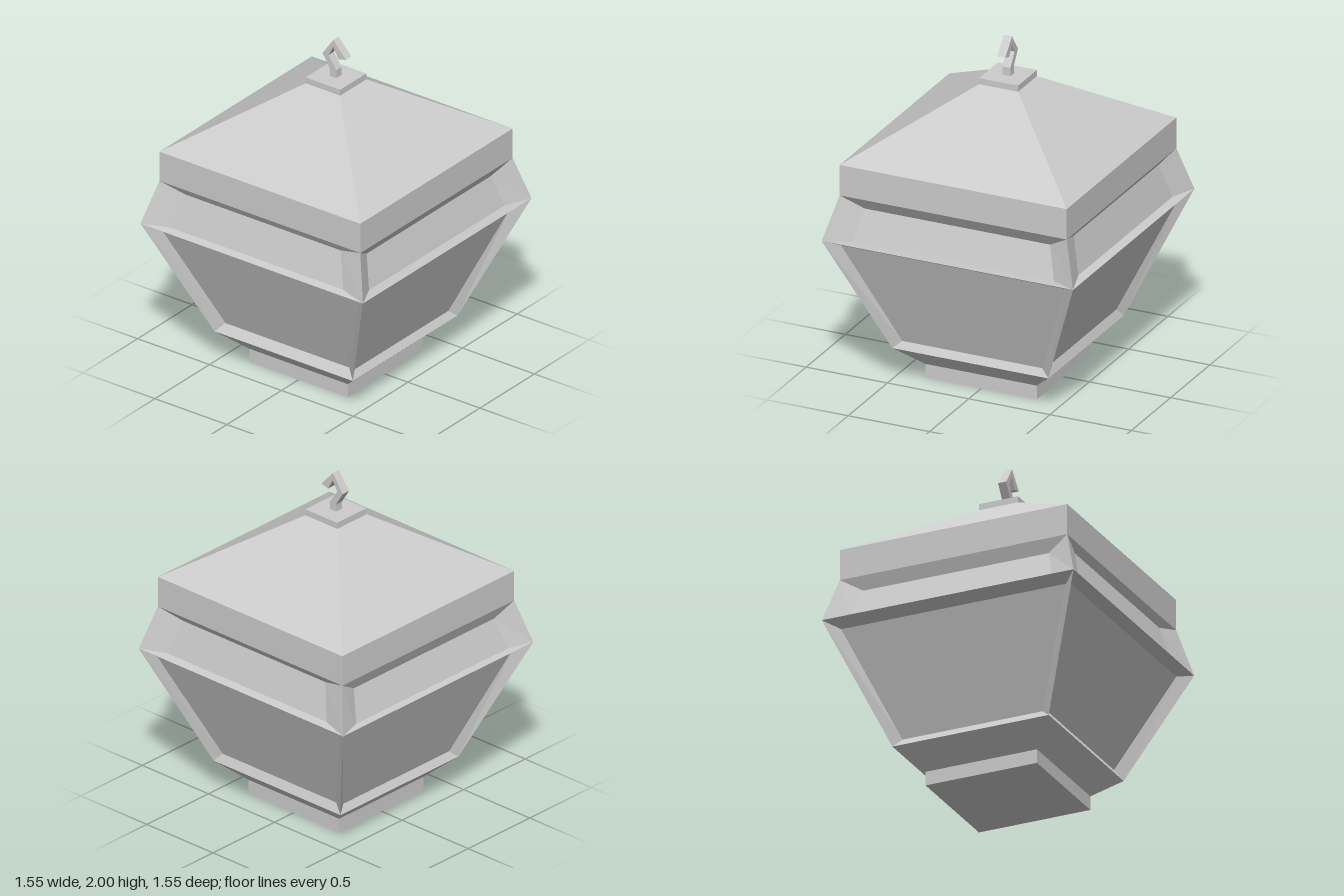
import * as THREE from 'three';

const material = new THREE.MeshStandardMaterial({ color: 0xcccccc, flatShading: true });

function addMesh(parent, name, geometry) {
  const mesh = new THREE.Mesh(geometry, material);
  mesh.name = name;
  parent.add(mesh);
  return mesh;
}

// Square frustum between two heights, given half-widths
function frustum(y0, half0, y1, half1, open) {
  const g = new THREE.CylinderGeometry(half1 * Math.SQRT2, half0 * Math.SQRT2, y1 - y0, 4, 1, open);
  g.rotateY(Math.PI / 4);
  g.translate(0, (y0 + y1) / 2, 0);
  return g.toNonIndexed();
}

// Recessed panel facing +z: each edge is [halfWidth, y, z]
function recessedPanel(outerBottom, outerTop, innerBottom, innerTop) {
  const loop = ([wb, yb, zb], [wt, yt, zt]) => [[-wb, yb, zb], [wb, yb, zb], [wt, yt, zt], [-wt, yt, zt]];
  const outer = loop(outerBottom, outerTop);
  const inner = loop(innerBottom, innerTop);
  const positions = [];
  const quad = (a, b, c, d) => positions.push(...a, ...b, ...c, ...a, ...c, ...d);
  for (let i = 0; i < 4; i++) {
    const j = (i + 1) % 4;
    quad(outer[i], outer[j], inner[j], inner[i]);
  }
  quad(...inner);
  const g = new THREE.BufferGeometry();
  g.setAttribute('position', new THREE.Float32BufferAttribute(positions, 3));
  g.computeVertexNormals();
  return g;
}

export function createModel() {
  const lantern = new THREE.Group();
  lantern.name = 'lantern';

  // Foot and flared underside
  addMesh(lantern, 'foot', frustum(0, 0.342, 0.083, 0.342, false));
  addMesh(lantern, 'flare', frustum(0.083, 0.342, 0.207, 0.48, true));

  // Body walls: inner bottom and top edges of the lower and upper recess on each side
  const low = [0.48, 0.207, 0.48], waist = [0.773, 0.915, 0.773], neck = [0.698, 1.176, 0.698];
  const walls = [
    ['front', [0.43, 0.26, 0.445], [0.69, 0.888, 0.702], [0.6, 0.925, 0.725], [0.54, 1.13, 0.67]],
    ['left', [0.43, 0.25, 0.455], [0.69, 0.875, 0.697], [0.62, 0.91, 0.7], [0.57, 1.1, 0.645]],
    ['back', [0.43, 0.26, 0.459], [0.69, 0.87, 0.712], [0.6, 0.925, 0.722], [0.54, 1.13, 0.665]],
    ['right', [0.43, 0.25, 0.455], [0.69, 0.875, 0.697], [0.62, 0.92, 0.73], [0.57, 1.1, 0.665]],
  ];
  walls.forEach(([side, lowerBottom, lowerTop, upperBottom, upperTop], i) => {
    const wall = new THREE.Group();
    wall.name = side + 'Wall';
    wall.rotation.y = i * Math.PI / 2;
    addMesh(wall, side + 'LowerPanel', recessedPanel(low, waist, lowerBottom, lowerTop));
    addMesh(wall, side + 'UpperPanel', recessedPanel(waist, neck, upperBottom, upperTop));
    lantern.add(wall);
  });

  // Roof band, sloped roof and cap
  addMesh(lantern, 'roofBand', frustum(1.176, 0.698, 1.36, 0.698, true));
  addMesh(lantern, 'roof', frustum(1.36, 0.698, 1.73, 0.12, true));
  addMesh(lantern, 'cap', frustum(1.73, 0.12, 1.767, 0.12, false));

  // Hanging hook
  const outline = [
    [0.021, 1.76], [0.021, 1.817], [-0.033, 1.895], [0, 1.955], [0.037, 1.89],
    [0.087, 1.903], [0, 2], [-0.075, 1.895], [-0.023, 1.812], [-0.023, 1.76],
  ];
  const shape = new THREE.Shape(outline.map(([x, y]) => new THREE.Vector2(x, y)));
  const hook = new THREE.ExtrudeGeometry(shape, { depth: 0.05, bevelEnabled: false });
  hook.translate(0, 0, -0.025);
  addMesh(lantern, 'hook', hook);

  return lantern;
}
